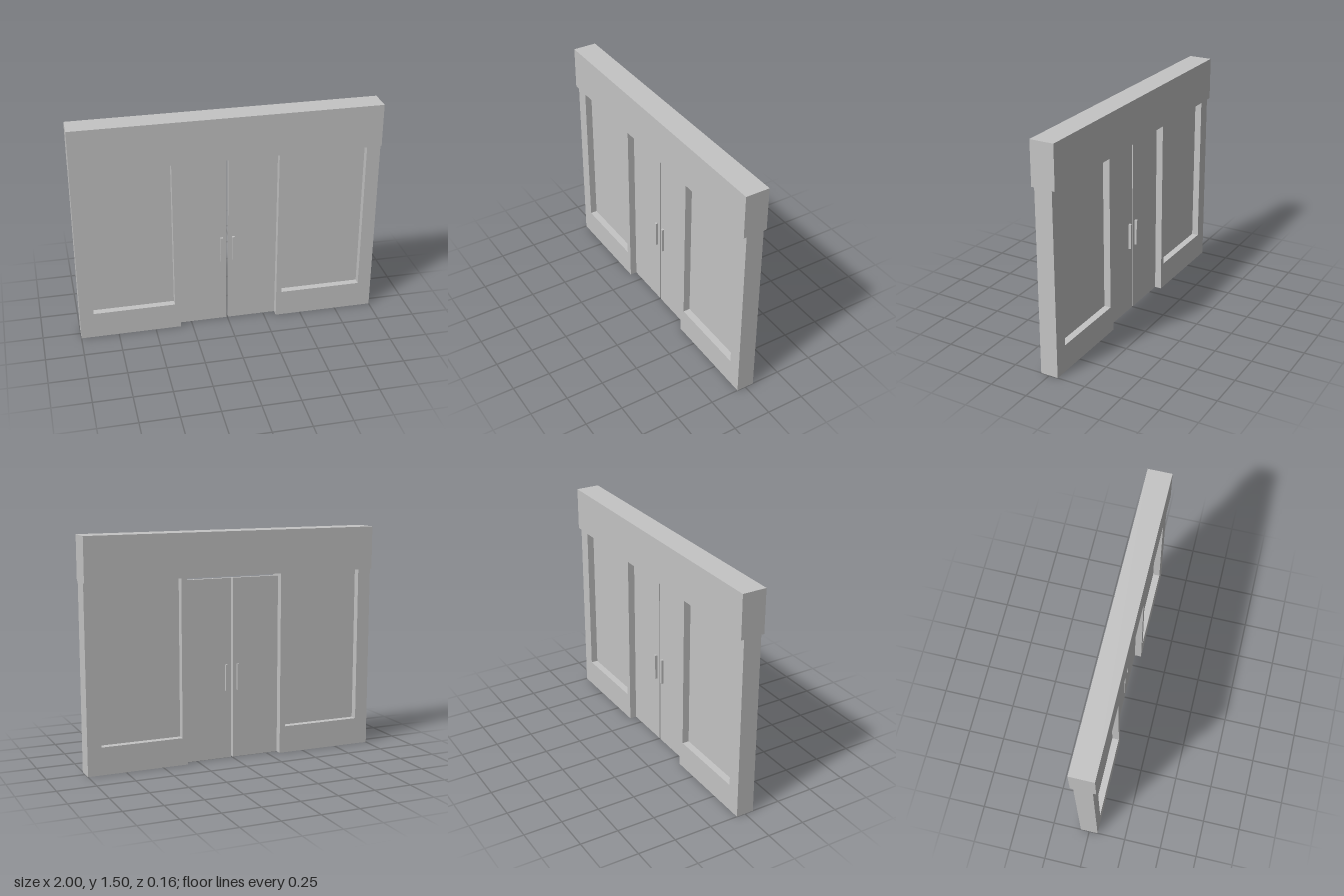
import * as THREE from 'three';

export function createModel() {
  const group = new THREE.Group();
  group.name = 'doubleDoorEntrance';
  const grey = new THREE.MeshStandardMaterial({ color: 0xc4c4c4 });
  grey.name = 'light grey';

  const HEAD_Y = 1.215; // underside of the header

  // Box from its x and y limits, centred on z = 0
  function slab(name, x0, x1, y0, y1, depth) {
    const mesh = new THREE.Mesh(new THREE.BoxGeometry(x1 - x0, y1 - y0, depth), grey);
    mesh.position.set((x0 + x1) / 2, (y0 + y1) / 2, 0);
    mesh.name = name;
    group.add(mesh);
  }

  // Header beam, overhanging front and back
  slab('header', -1, 1, HEAD_Y, 1.5, 0.158);

  for (const [side, s] of [['left', 1], ['right', -1]]) {
    const part = (name, a, b, y0, y1, depth) =>
      slab(side + name, Math.min(s * a, s * b), Math.max(s * a, s * b), y0, y1, depth);

    // U-shaped window frame, open towards the header
    const frame = new THREE.Shape([
      [0.33, 0], [1, 0], [1, HEAD_Y], [0.91, HEAD_Y],
      [0.91, 0.18], [0.367, 0.18], [0.367, HEAD_Y], [0.33, HEAD_Y],
    ].map(([x, y]) => new THREE.Vector2(s * x, y)));
    const frameGeometry = new THREE.ExtrudeGeometry(frame, { depth: 0.118, bevelEnabled: false });
    frameGeometry.translate(0, 0, -0.059);
    const frameMesh = new THREE.Mesh(frameGeometry, grey);
    frameMesh.name = side + 'WindowFrame';
    group.add(frameMesh);

    // Recessed pane and door leaf
    part('WindowPane', 0.367, 0.91, 0.18, HEAD_Y, 0.026);
    part('Door', 0.006, 0.33, 0, 1.195, 0.026);

    // Upright handle, standing out on both faces of the door
    part('DoorHandle', 0.032, 0.048, 0.455, 0.63, 0.058);
  }
  return group;
}
